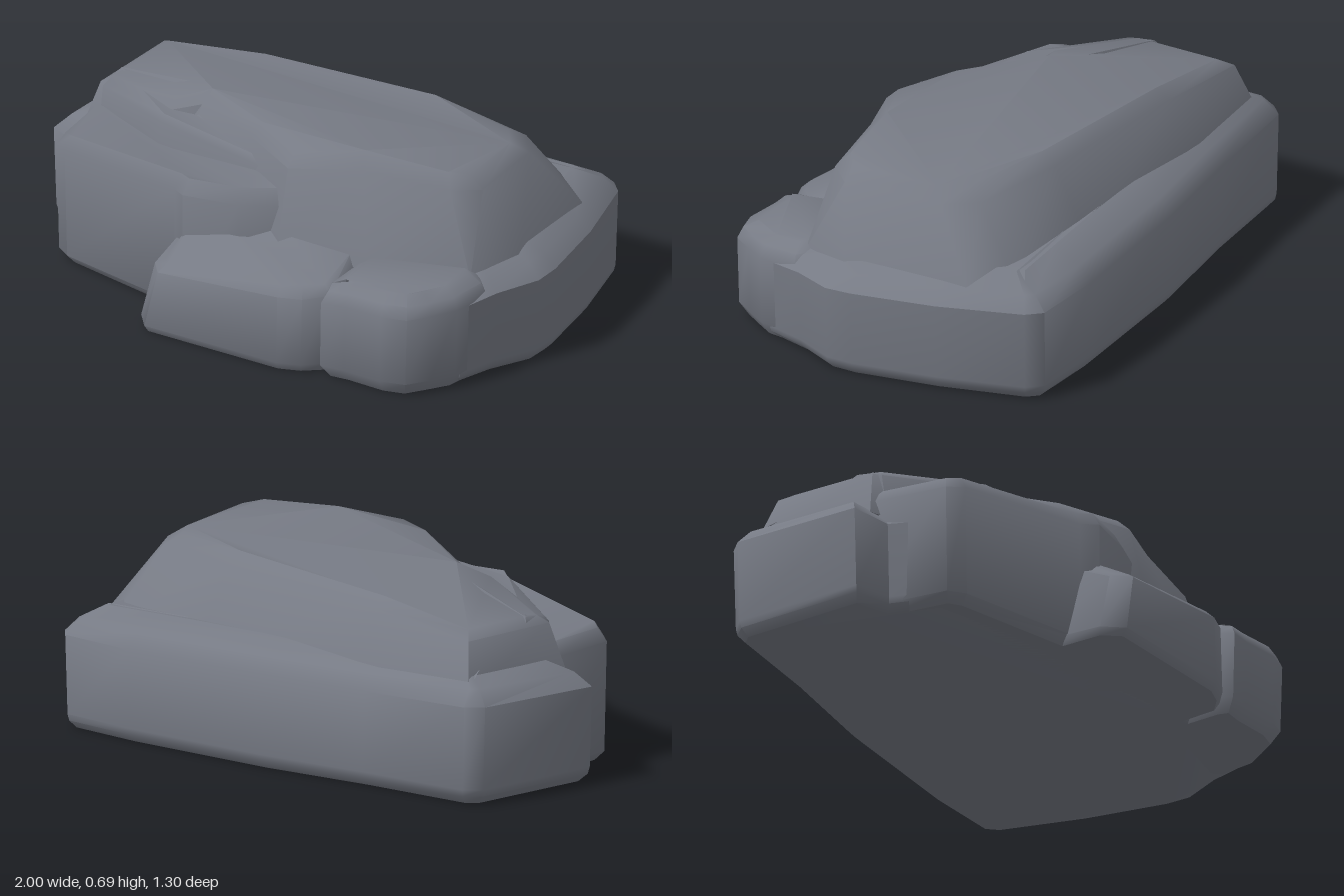
import * as THREE from 'three';
import { toCreasedNormals } from 'three/addons/utils/BufferGeometryUtils.js';

const stone = new THREE.MeshStandardMaterial({ color: 0x767a84 });
stone.name = 'slate grey stone';

// Moves each corner of a closed ring inwards (in plan) by a distance.
function insetRing(ring, d) {
  const n = ring.length;
  const inward = (a, b) => new THREE.Vector2(a.z - b.z, b.x - a.x).normalize();
  return ring.map((p, i) => {
    const n1 = inward(ring[(i + n - 1) % n], p);
    const n2 = inward(p, ring[(i + 1) % n]);
    const k = d / Math.max(0.6, 1 + n1.dot(n2));
    return new THREE.Vector3(p.x + (n1.x + n2.x) * k, p.y, p.z + (n1.y + n2.y) * k);
  });
}

// Lofts a boulder between two rings (clockwise from above).
// Each profile entry is [blend from bottom to top, inset].
function boulder(name, bottom, top, profile) {
  const n = top.length;
  const rings = profile.map(([t, d]) =>
    insetRing(top.map((p, i) => new THREE.Vector3(...bottom[i]).lerp(new THREE.Vector3(...p), t)), d));
  const index = [];
  for (let r = 0; r < rings.length - 1; r++) {
    for (let i = 0; i < n; i++) {
      const a = r * n + i, a2 = r * n + (i + 1) % n;
      index.push(a, a + n, a2, a2, a + n, a2 + n);
    }
  }
  // Caps, with each triangle turned to face outwards
  for (const [r, up] of [[0, -1], [rings.length - 1, 1]]) {
    const flat = rings[r].map(p => new THREE.Vector2(p.x, p.z));
    for (const [a, b, c] of THREE.ShapeUtils.triangulateShape(flat, [])) {
      const cross = flat[b].clone().sub(flat[a]).cross(flat[c].clone().sub(flat[a]));
      const o = r * n;
      if (cross * up < 0) index.push(o + a, o + b, o + c);
      else index.push(o + a, o + c, o + b);
    }
  }
  const geo = new THREE.BufferGeometry().setFromPoints(rings.flat());
  geo.setIndex(index);
  const mesh = new THREE.Mesh(toCreasedNormals(geo, 0.8), stone);
  mesh.name = name;
  return mesh;
}

// Ground ring under a top ring, narrowed slightly
const ground = top => top.map(([x, , z]) => [x * 0.985, 0, z * 0.995]);

export function createModel() {
  const group = new THREE.Group();
  group.name = 'rock';

  // Broad base slab with softened rim
  const base = [
    [-1, 0.39, 0.06], [-0.98, 0.4, -0.43], [-0.93, 0.4, -0.48], [-0.5, 0.39, -0.53],
    [-0.08, 0.39, -0.6], [0.5, 0.38, -0.65], [0.8, 0.38, -0.65], [0.85, 0.38, -0.6],
    [0.94, 0.37, -0.3], [1, 0.365, 0], [1, 0.36, 0.1], [0.93, 0.35, 0.25],
    [0.89, 0.34, 0.4], [0.5, 0.34, 0.45], [-0.2, 0.35, 0.42], [-0.8, 0.36, 0.28], [-0.86, 0.37, 0.1],
  ];
  group.add(boulder('baseSlab', ground(base), base,
    [[0, 0.03], [0.07, 0.005], [0.13, 0], [0.85, 0], [0.98, 0.05], [1.1, 0.15]]));

  // Upper mass, sloping down towards the right end
  const upperBottom = [
    [-0.89, 0.36, -0.42], [-0.4, 0.36, -0.47], [0.3, 0.36, -0.5], [0.73, 0.36, -0.49],
    [0.86, 0.36, -0.38], [0.91, 0.36, 0.08], [0.84, 0.34, 0.28], [0.5, 0.33, 0.4],
    [0.17, 0.34, 0.45], [-0.1, 0.36, 0.32], [-0.4, 0.36, 0.2], [-0.5, 0.36, 0.2], [-0.89, 0.36, 0.05],
  ];
  const upperTop = [
    [-0.83, 0.56, -0.36], [-0.4, 0.61, -0.37], [0.3, 0.645, -0.36], [0.66, 0.635, -0.29],
    [0.74, 0.635, -0.18], [0.79, 0.65, 0.16], [0.71, 0.665, 0.23], [0.4, 0.685, 0.28],
    [0.17, 0.66, 0.38], [-0.05, 0.675, 0.27], [-0.35, 0.65, 0.11], [-0.46, 0.61, 0.16], [-0.83, 0.56, 0.02],
  ];
  group.add(boulder('upperMass', upperBottom, upperTop, [[0, 0], [0.86, 0.005], [1, 0.04]]));

  // Split shelf lying against the front of the upper mass
  const shelf = [
    [-0.82, 0.56, -0.08], [-0.4, 0.63, 0], [0, 0.65, 0.18], [0.18, 0.54, 0.39],
    [0.02, 0.58, 0.32], [-0.45, 0.59, 0.23], [-0.81, 0.55, 0.04],
  ];
  group.add(boulder('splitShelf', shelf.map(([x, , z]) => [x, 0.35, z + 0.03]), shelf,
    [[0, 0], [0.9, 0], [1, 0.015]]));

  // Tall slab at the front right
  const slab = [
    [-0.86, 0.46, 0.02], [-0.4, 0.53, 0.1], [0.05, 0.56, 0.2], [0.17, 0.53, 0.4],
    [0.02, 0.52, 0.46], [-0.18, 0.52, 0.5], [-0.24, 0.51, 0.46], [-0.76, 0.47, 0.35], [-0.82, 0.46, 0.31],
  ];
  group.add(boulder('frontSlab', ground(slab), slab, [[0, 0.03], [0.07, 0], [0.9, 0], [1, 0.03]]));

  // Low ledge in the middle of the front, its top rising to the upper mass
  const ledge = [
    [-0.2, 0.38, 0.36], [0.15, 0.41, 0.36], [0.46, 0.37, 0.36], [0.45, 0.31, 0.55], [0.38, 0.3, 0.61],
    [0.3, 0.3, 0.64], [-0.18, 0.26, 0.64], [-0.23, 0.26, 0.58],
  ];
  const ledgeFoot = [
    [-0.3, 0, 0.3], [0.15, 0, 0.3], [0.47, 0, 0.3], [0.45, 0, 0.56], [0.38, 0, 0.62],
    [0.3, 0, 0.65], [-0.24, 0, 0.65], [-0.3, 0, 0.58],
  ];
  group.add(boulder('frontLedge', ledgeFoot, ledge, [[0, 0.02], [0.1, 0], [0.9, 0], [1, 0.03]]));

  // Rounded block at the front left
  const block = [
    [0.45, 0.36, 0.33], [0.84, 0.36, 0.2], [0.91, 0.35, 0.28], [0.89, 0.345, 0.43],
    [0.84, 0.34, 0.51], [0.79, 0.34, 0.585], [0.7, 0.34, 0.61], [0.55, 0.335, 0.605],
    [0.46, 0.33, 0.615], [0.44, 0.34, 0.55],
  ];
  group.add(boulder('frontBlock', ground(block), block,
    [[0, 0.03], [0.14, 0], [0.85, 0], [0.97, 0.02], [1.04, 0.07]]));

  return group;
}
